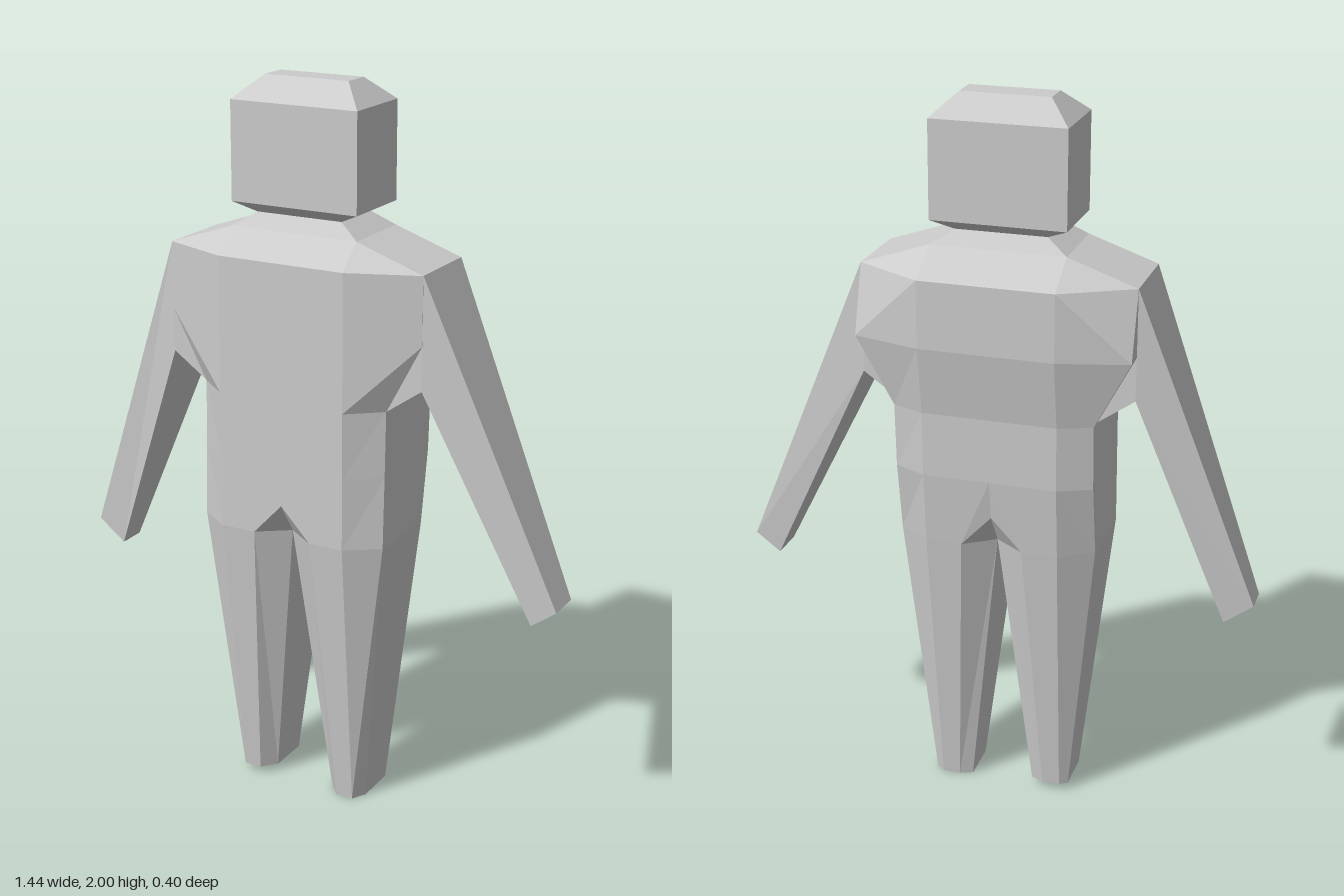
import * as THREE from 'three';

const material = new THREE.MeshStandardMaterial({ color: 0xcccccc, flatShading: true });

// Lofts a list of equally long point rings (each ring runs front -> side -> back).
function loft(name, rings, { side = 1, closed = false, cap = false, extra = [] } = {}) {
  const pos = [];
  const tri = (a, b, c) => {
    const [p, q, r] = (side > 0 ? [a, b, c] : [a, c, b]).map(v => new THREE.Vector3(side * v[0], v[1], v[2]));
    if (new THREE.Triangle(p, q, r).getArea() < 1e-7) return;
    for (const v of [p, q, r]) pos.push(v.x, v.y, v.z);
  };
  for (let k = 0; k + 1 < rings.length; k++) {
    const a = rings[k], b = rings[k + 1], n = a.length;
    for (let i = 0; i < (closed ? n : n - 1); i++) {
      const j = (i + 1) % n;
      tri(b[i], b[j], a[j]);
      tri(b[i], a[j], a[i]);
    }
  }
  if (cap) {
    const e = rings[rings.length - 1];
    for (let i = 1; i + 1 < e.length; i++) tri(e[0], e[i + 1], e[i]);
  }
  extra.forEach(t => tri(...t));
  const geometry = new THREE.BufferGeometry();
  geometry.setAttribute('position', new THREE.Float32BufferAttribute(pos, 3));
  geometry.computeVertexNormals();
  const mesh = new THREE.Mesh(geometry, material);
  mesh.name = name;
  return mesh;
}

// Half of a chamfered torso section, from the front centre round to the back centre.
const halfRing = (y, w, f, zf, sf, sb, zb, yc = y) => [
  [0, yc, zf], [0.085, y, zf], [f, y, zf], [w, y, sf],
  [w, y, sb], [f, y, zb], [0.085, y, zb], [0, yc, zb],
];

const rect = (y, x, zf, zb) => [[-x, y, zf], [x, y, zf], [x, y, zb], [-x, y, zb]];

export function createModel() {
  const group = new THREE.Group();
  const body = new THREE.Group();
  body.name = 'body';
  body.position.x = -0.025;
  group.add(body);

  // Head: a block with bevelled crown and chin
  body.add(loft('head', [
    rect(2.0, 0, 0.015, 0.015), rect(2.0, 0.122, 0.055, -0.025), rect(1.94, 0.185, 0.125, -0.093),
    rect(1.675, 0.185, 0.125, -0.093), rect(1.648, 0.125, 0.095, -0.06),
  ], { closed: true, cap: true }));

  // Torso sections from neck to hips; the lowest one rises to the crotch notch
  const torso = [
    halfRing(1.648, 0.125, 0.125, 0.095, 0.095, -0.06, -0.06),
    halfRing(1.61, 0.185, 0.185, 0.125, 0.125, -0.093, -0.093),
    halfRing(1.545, 0.375, 0.185, 0.198, 0.125, -0.095, -0.2),
    halfRing(1.36, 0.375, 0.185, 0.198, 0.125, -0.15, -0.2),
    halfRing(1.17, 0.275, 0.185, 0.198, 0.125, -0.135, -0.17),
    halfRing(0.99, 0.275, 0.185, 0.198, 0.13, -0.125, -0.167),
    halfRing(0.79, 0.275, 0.185, 0.198, 0.137, -0.09, -0.15, 0.88),
  ];
  const hip = torso[torso.length - 1];
  const innerFront = [0, 0.79, 0.137], innerBack = [0, 0.79, -0.09];

  // Arm tips and foot heights differ a little between the sides
  const sides = [
    { s: 1, label: 'left', tip: [0.745, 0.68, 0.675, 0.628], z: [0.065, -0.035], foot: 0 },
    { s: -1, label: 'right', tip: [0.7, 0.66, 0.62, 0.6], z: [0.055, -0.025], foot: 0.02 },
  ];
  for (const { s, label, tip, z, foot } of sides) {
    body.add(loft(label + 'Torso', torso, {
      side: s,
      extra: [[hip[0], innerFront, hip[1]], [hip[7], hip[6], innerBack]],
    }));

    // Leg: octagon tapering to the sole
    const top = [...hip.slice(1, 7), innerBack, innerFront];
    const sole = [
      [0.125, foot, 0.115], [0.175, foot, 0.115], [0.197, foot, 0.075], [0.197, foot, -0.045],
      [0.175, foot, -0.06], [0.125, foot, -0.06], [0.09, foot, -0.045], [0.09, foot, 0.075],
    ];
    body.add(loft(label + 'Leg', [top, sole], { side: s, closed: true, cap: true }));

    // Arm: four-sided taper growing out of the shoulder
    const section = (xt, yt, xb, yb, zf, zb) => [[xt, yt, zf], [xb, yb, zf], [xb, yb, zb], [xt, yt, zb]];
    body.add(loft(label + 'Arm', [
      section(0.275, 1.545, 0.275, 1.17, 0.124, -0.095),
      section(0.375, 1.545, 0.375, 1.24, 0.124, -0.095),
      section(...tip, ...z),
    ].map(r => r.reverse()), { side: s, closed: true, cap: true }));
  }
  return group;
}
